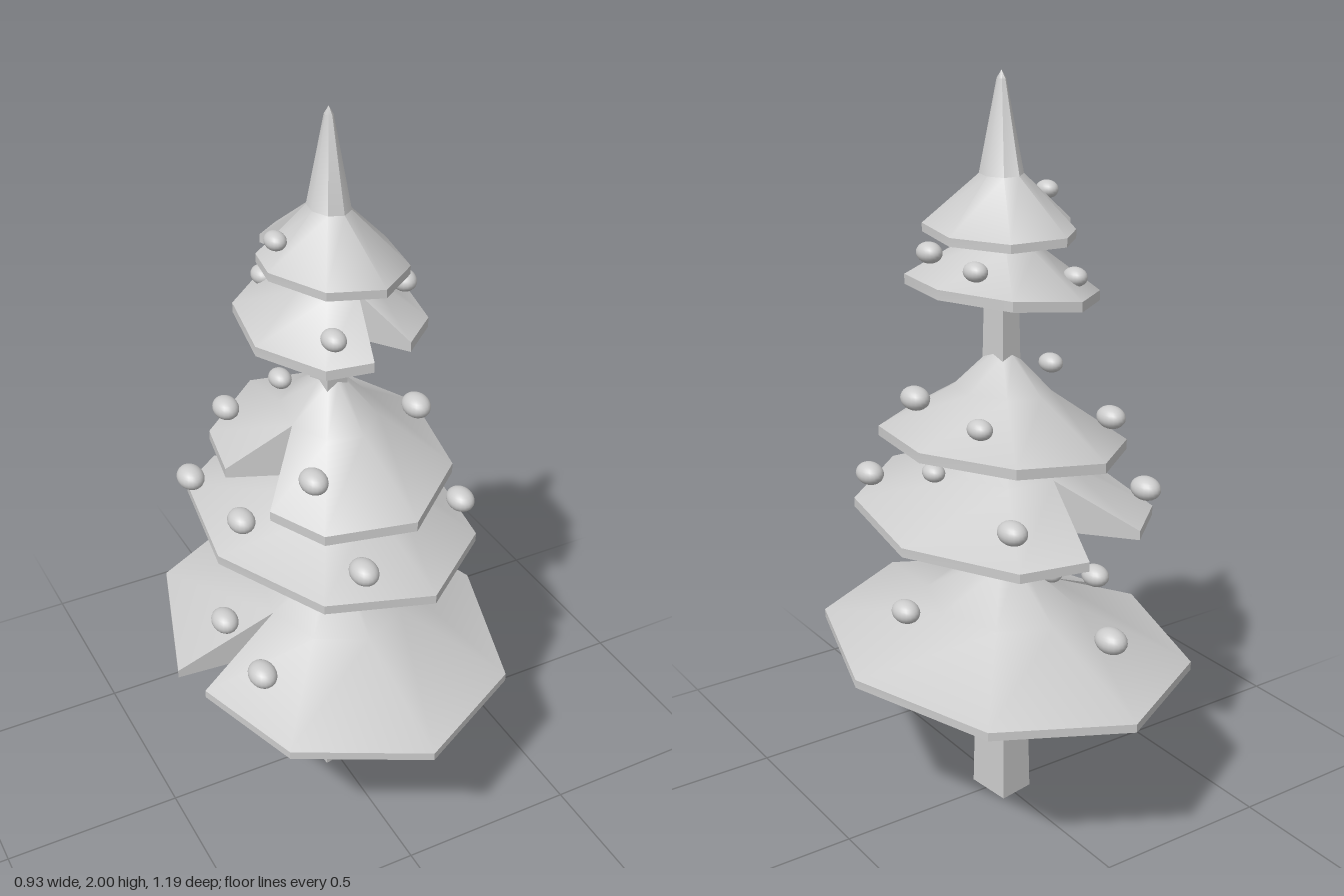
import * as THREE from 'three';
import { toCreasedNormals } from 'three/addons/utils/BufferGeometryUtils.js';

const DEG = Math.PI / 180;
const DEPTH_RATIO = 0.78; // the whole tree is narrower in x than in z

// Point on an eight-sided ring; the angle runs from +z towards +x.
function ringPoint(radius, angle, phase, y, tilt) {
  const local = ((((angle - phase) % 45) + 45) % 45) - 22.5;
  const r = radius * Math.cos(22.5 * DEG) / Math.cos(local * DEG);
  const x = r * Math.sin(angle * DEG) * DEPTH_RATIO;
  const z = r * Math.cos(angle * DEG);
  return [x, y + tilt[0] * x + tilt[1] * z, z];
}

// Branch layer: eight-sided skirt with a wedge cut out of its outer band.
function tierGeometry({ radius, phase, notch, bottom, profile, tilt }) {
  const [from, to] = notch;
  const angles = [to];
  for (let k = -8; k < 24; k++) {
    const a = phase + k * 45;
    if (a > to + 0.5 && a < from + 359.5) angles.push(a);
  }
  angles.push(from + 360);
  const last = angles.length - 1;
  const middle = (from + to) / 2;

  // Sections run from the underside centre, round the rim and up to the tip
  const sections = [[0, bottom], [profile[1][0], bottom], [1, bottom], ...profile];
  const rows = sections.map(([f, y]) => angles.map((a, j) => {
    let angle = a;
    if (f < 1 && j === 0) angle = middle;
    if (f < 1 && j === last) angle = middle + 360;
    return ringPoint(radius * f, angle, phase, y, tilt);
  }));

  const position = [];
  const tri = (...points) => points.forEach((p) => position.push(...p));
  for (let i = 0; i < rows.length - 1; i++) {
    for (let j = 0; j < last; j++) {
      const a = rows[i][j], b = rows[i][j + 1], c = rows[i + 1][j + 1], d = rows[i + 1][j];
      if (sections[i][0] > 0) tri(a, b, c);
      if (sections[i + 1][0] > 0) tri(a, c, d);
    }
  }
  // Cut faces of the wedge
  const [p, q, r, s] = [1, 2, 3, 4].map((i) => rows[i][0]);
  tri(p, q, r); tri(p, r, s);
  const [t, u, v, w] = [1, 2, 3, 4].map((i) => rows[i][last]);
  tri(t, v, u); tri(t, w, v);

  const geometry = new THREE.BufferGeometry();
  geometry.setAttribute('position', new THREE.Float32BufferAttribute(position, 3));
  return toCreasedNormals(geometry, 0.7);
}

const TIERS = [
  { name: 'bottomBranches', radius: 0.593, phase: 0, notch: [270, 281], bottom: 0.45,
    profile: [[1, 0.473], [0.41, 0.59], [0.11, 0.705], [0, 0.73]], tilt: [0, 0] },
  { name: 'lowerBranches', radius: 0.47, phase: 10, notch: [174, 211], bottom: 0.845,
    profile: [[1, 0.87], [0.42, 0.985], [0.11, 1.08], [0, 1.1]], tilt: [-0.045, 0.015] },
  { name: 'middleBranches', radius: 0.385, phase: 10, notch: [262, 297], bottom: 1.04,
    profile: [[1, 1.067], [0.4, 1.19], [0.11, 1.285], [0, 1.31]], tilt: [0.065, -0.055] },
  { name: 'upperBranches', radius: 0.293, phase: 10, notch: [355, 387], bottom: 1.447,
    profile: [[1, 1.473], [0.42, 1.57], [0.12, 1.67], [0, 1.69]], tilt: [0.09, -0.02] },
  { name: 'treeTop', radius: 0.237, phase: 10, notch: [217, 251], bottom: 1.603,
    profile: [[1, 1.625], [0.28, 1.75], [0.06, 1.98], [0, 2.0]], tilt: [-0.05, 0.02] },
];

// Baubles: x, y, z and size, listed from the bottom layer up
const BAUBLES = [
  [-0.095, 0.58, -0.365, 0.05], [-0.3, 0.555, 0.2, 0.048], [-0.31, 0.58, -0.02, 0.046],
  [0.255, 0.58, 0.085, 0.046], [-0.1, 0.67, -0.09, 0.038],
  [-0.3, 0.92, -0.24, 0.047], [0.18, 0.93, -0.31, 0.045], [-0.275, 0.945, 0.04, 0.045],
  [-0.095, 0.945, 0.375, 0.046], [0.28, 0.945, 0.215, 0.045], [0.2, 0.99, 0.02, 0.036],
  [-0.2, 1.13, -0.21, 0.044], [0.208, 1.175, -0.21, 0.038], [-0.155, 1.14, 0.22, 0.045],
  [0.215, 1.18, 0.08, 0.046], [-0.1, 1.262, -0.08, 0.037],
  [-0.095, 1.51, -0.185, 0.036], [0.175, 1.55, -0.145, 0.036], [-0.09, 1.51, 0.2, 0.038],
  [0.165, 1.555, 0.08, 0.04], [-0.145, 1.695, 0.005, 0.034],
];

export function createModel() {
  const model = new THREE.Group();
  model.name = 'decoratedTree';
  const grey = new THREE.MeshStandardMaterial({ color: 0xcccccc, side: THREE.DoubleSide });
  grey.name = 'light grey';

  // Tapering four-sided trunk, open at the foot
  const trunkShape = new THREE.CylinderGeometry(0.048, 0.094, 1.6, 4, 1, true, 53 * DEG)
    .toNonIndexed();
  trunkShape.scale(DEPTH_RATIO, 1, 1);
  trunkShape.translate(0, 0.8, 0);
  trunkShape.computeVertexNormals();
  const trunk = new THREE.Mesh(trunkShape, grey);
  trunk.name = 'trunk';
  model.add(trunk);

  // Branch layers
  for (const tier of TIERS) {
    const mesh = new THREE.Mesh(tierGeometry(tier), grey);
    mesh.name = tier.name;
    model.add(mesh);
  }

  // Baubles, stretched along z
  const baubles = new THREE.Group();
  baubles.name = 'baubles';
  const ball = new THREE.SphereGeometry(1, 20, 14);
  for (const [x, y, z, size] of BAUBLES) {
    const bauble = new THREE.Mesh(ball, grey);
    bauble.name = 'bauble';
    bauble.position.set(x, y, z);
    bauble.scale.set(size * DEPTH_RATIO, size * 0.68, size);
    baubles.add(bauble);
  }
  model.add(baubles);
  return model;
}
